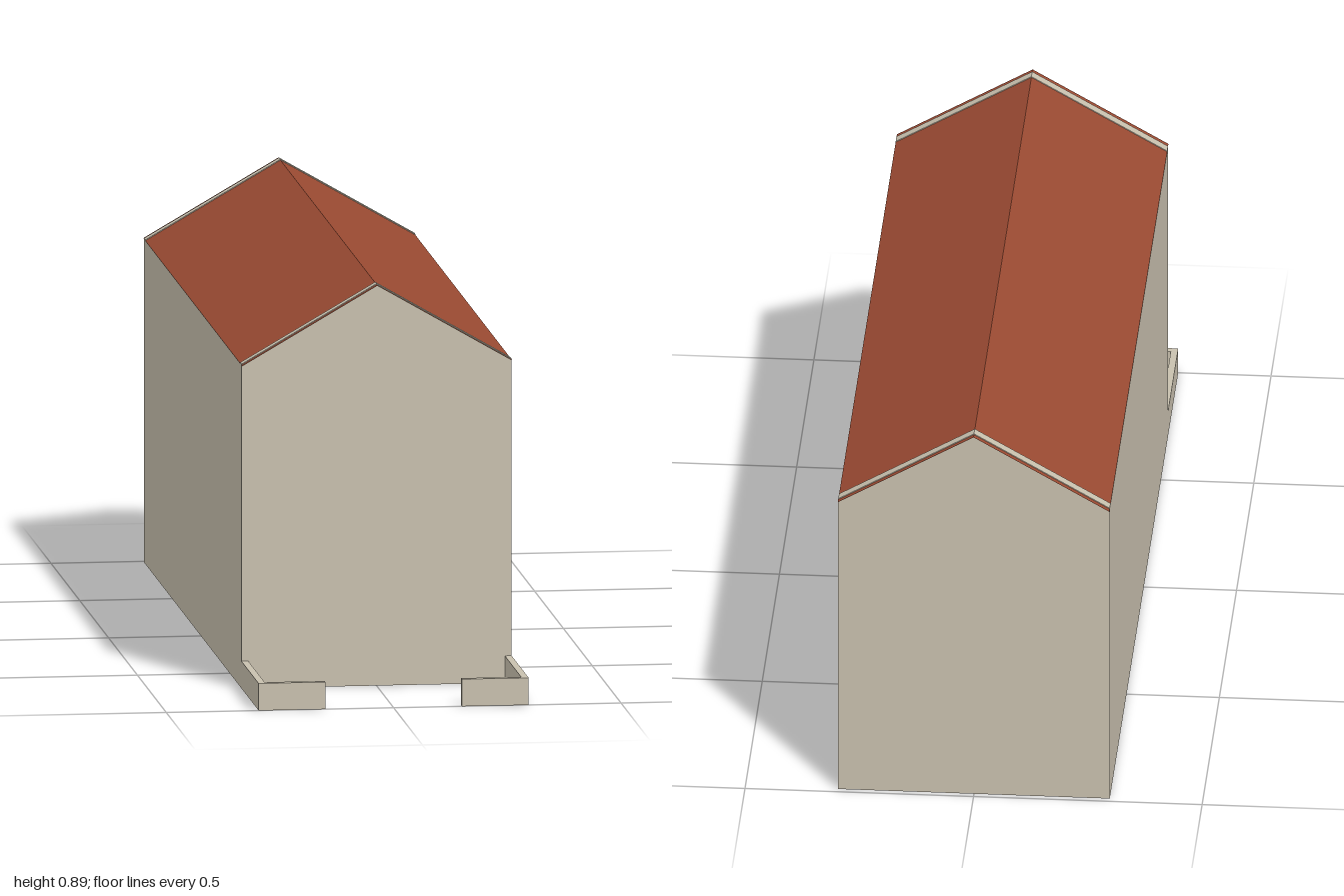
import * as THREE from 'three';

const W = 0.297, EAVE = 0.715, RIDGE = 0.887, T = 0.015;
const FRONT = 0.703, BACK = -0.987, GABLE = 0.023;

export function createModel() {
  const model = new THREE.Group();
  model.name = 'gabledHall';
  const plaster = new THREE.MeshStandardMaterial({ color: 0xc8c0ae });
  plaster.name = 'plaster';
  const tile = new THREE.MeshStandardMaterial({ color: 0x9a4a32, side: THREE.DoubleSide });
  tile.name = 'roofTile';

  const add = (name, geometry, material) => {
    const mesh = new THREE.Mesh(geometry, material);
    mesh.name = name;
    model.add(mesh);
    return mesh;
  };
  const extrude = (points, depth) => new THREE.ExtrudeGeometry(
    new THREE.Shape(points.map(([x, y]) => new THREE.Vector2(x, y))),
    { depth, bevelEnabled: false });

  // Gable walls, whose sloping tops stand just proud of the roof
  const lift = 0.002;
  const gable = [[-W, 0], [W, 0], [W, EAVE + lift], [0, RIDGE + lift], [-W, EAVE + lift]];
  add('frontGable', extrude(gable, GABLE), plaster).position.z = FRONT - GABLE;
  add('backGable', extrude(gable, GABLE), plaster).position.z = BACK;

  // Side walls, each running on into a low yard wall; drawn along -z
  const side = [[-1, 0], [-BACK, 0], [-BACK, EAVE], [-FRONT, EAVE], [-FRONT, 0.06], [-1, 0.06]];
  for (const s of [-1, 1]) {
    const label = s > 0 ? 'left' : 'right';
    const wall = add(label + 'SideWall', extrude(side, T), plaster);
    wall.rotation.y = Math.PI / 2;
    wall.position.x = s > 0 ? W - T : -W;

    // Short return beside the yard opening
    const end = add(label + 'YardReturn', new THREE.BoxGeometry(W - 0.15, 0.06, T), plaster);
    end.position.set(s * (W + 0.15) / 2, 0.03, 1 - T / 2);
  }

  // Thin roof, one sheet per slope, with a small overhang at both gables
  const z0 = -1, z1 = 0.717;
  for (const s of [-1, 1]) {
    const sheet = new THREE.PlaneGeometry(Math.hypot(W, RIDGE - EAVE), z1 - z0);
    sheet.rotateX(-Math.PI / 2);
    sheet.rotateZ(-s * Math.atan2(RIDGE - EAVE, W));
    add(s > 0 ? 'leftRoofSlope' : 'rightRoofSlope', sheet, tile)
      .position.set(s * W / 2, (RIDGE + EAVE) / 2, (z0 + z1) / 2);
  }
  return model;
}
